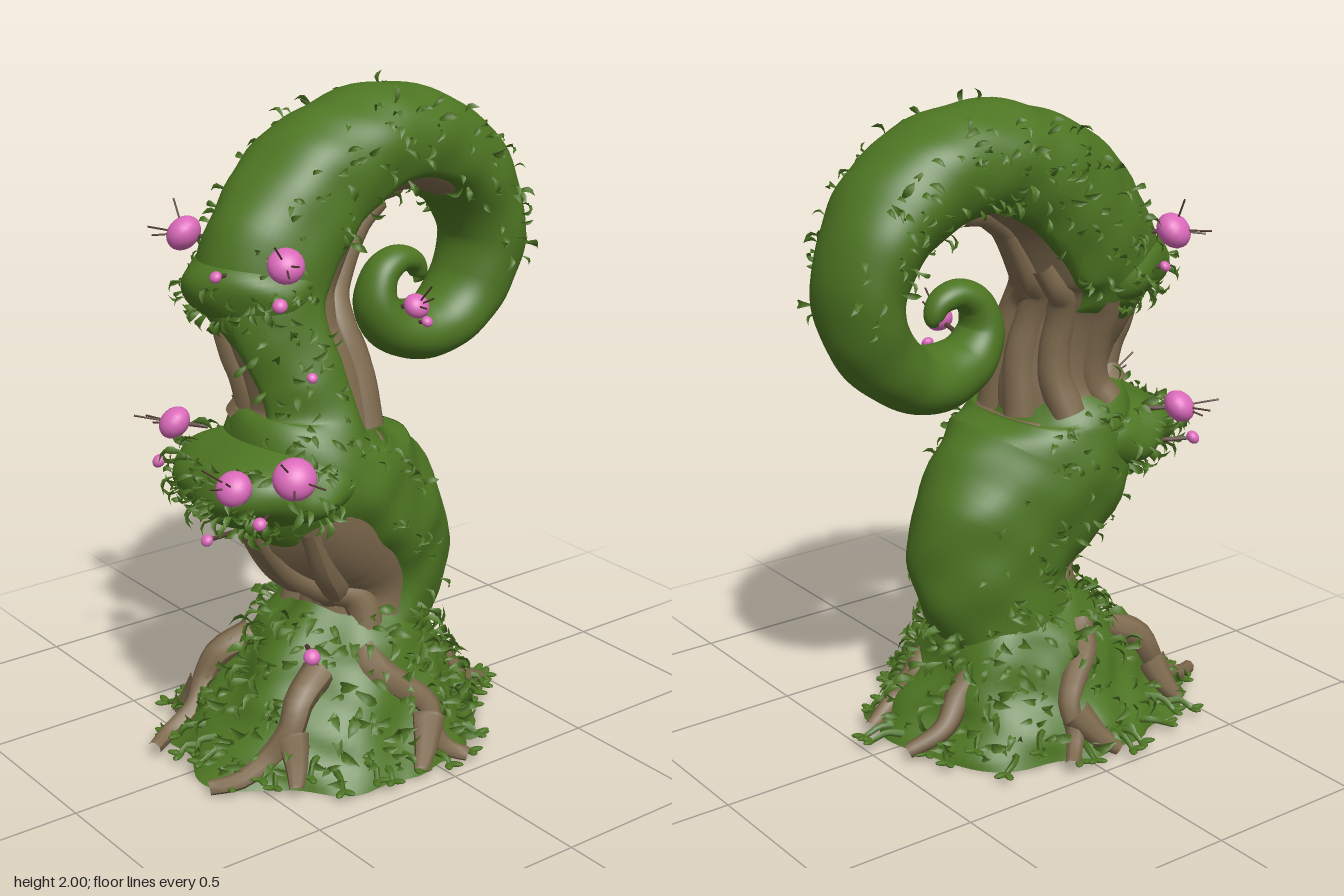
import * as THREE from 'three';
import { mergeGeometries } from 'three/addons/utils/BufferGeometryUtils.js';

const V = (x, y, z) => new THREE.Vector3(x, y, z);
const { sin, cos, PI, abs, max, min } = Math;

const mat = (name, color) => Object.assign(new THREE.MeshStandardMaterial({ color }), { name });

// Trunk sections: x, y, z, radius in the bending plane, radius sideways
const ROWS = [
  [0, 0.15, 0.06, 0.24, 0.25], [0, 0.36, -0.01, 0.225, 0.23], [0.01, 0.5, -0.045, 0.265, 0.215],
  [0.02, 0.64, 0.0, 0.295, 0.24], [0.02, 0.81, 0.14, 0.305, 0.28], [0.02, 0.96, 0.195, 0.235, 0.26],
  [0.02, 1.08, 0.18, 0.2, 0.2], [0, 1.2, 0.2, 0.195, 0.185], [-0.05, 1.33, 0.23, 0.2, 0.19],
  [-0.09, 1.47, 0.22, 0.235, 0.205], [-0.1, 1.67, 0.09, 0.21, 0.205], [-0.1, 1.76, -0.05, 0.185, 0.2],
  [-0.1, 1.795, -0.18, 0.17, 0.195], [-0.1, 1.765, -0.35, 0.16, 0.19], [-0.1, 1.66, -0.5, 0.138, 0.18],
  [-0.1, 1.48, -0.578, 0.117, 0.165], [-0.1, 1.32, -0.54, 0.11, 0.15], [-0.1, 1.215, -0.44, 0.1, 0.135],
  [-0.1, 1.185, -0.33, 0.095, 0.12], [-0.1, 1.22, -0.22, 0.082, 0.1], [-0.1, 1.3, -0.165, 0.065, 0.08],
  [-0.1, 1.38, -0.18, 0.053, 0.065], [-0.1, 1.42, -0.24, 0.044, 0.055], [-0.1, 1.405, -0.305, 0.036, 0.045],
  [-0.1, 1.36, -0.33, 0.026, 0.03], [-0.1, 1.335, -0.315, 0.002, 0.002],
];
const N = ROWS.length - 1;
const spine = new THREE.CatmullRomCurve3(ROWS.map(r => V(r[0], r[1], r[2])), false, 'catmullrom', 0.5);
const girth = new THREE.CatmullRomCurve3(ROWS.map(r => V(r[3], r[4], 0)), false, 'catmullrom', 0.5);

const bump = p => sin(17 * p.x + 5 * p.y) * sin(19 * p.y + 3 * p.z + 1) + 0.6 * sin(31 * p.z + 13 * p.x) * sin(29 * p.y + 2);
const step = THREE.MathUtils.smoothstep;
const turn = d => abs(((d + 3 * PI) % (2 * PI)) - PI);

// Point on the trunk at row s; angle 0 is the outer or front side, PI the inner side
function trunkPoint(s, a, k) {
  const t = min(max(s / N, 0), 1), c = spine.getPoint(t), g = girth.getPoint(t), d = spine.getTangent(t);
  const l = Math.hypot(d.y, d.z) || 1;
  const out = V(0, -d.z / l, d.y / l).multiplyScalar(cos(a) * g.x).add(V(sin(a) * g.y, 0, 0));
  return c.addScaledVector(out, k);
}
// How far the bark is laid bare, 0 to 1: waist, inside of the curl, and the neck on its -x side
function bare(s, a) {
  const patch = (s0, s1, mid, half) => step(s, s0, s0 + 0.9) * (1 - step(s, s1 - 0.8, s1)) *
    (1 - step(turn(a - mid), half - 0.25, half + 0.15));
  const inner = 1.15 - 0.4 * step(s, 8, 11);
  return max(patch(0.6, 4.5, 0.35, 1.15), patch(5.3, 13.8, PI - 0.15, inner), patch(5.4, 8.2, -1.1, 1.35));
}
const mossPoint = (s, a) => {
  const p = trunkPoint(s, a, 1);
  return trunkPoint(s, a, 1 + 0.03 * bump(p) - 0.22 * bare(s, a));
};
const moundPoint = (v, a) => {
  const w = Math.pow(1 - v, 1.5);
  const p = V((0.24 + 0.18 * w) * sin(a), 0.45 * v, 0.02 + 0.08 * (1 - v) + (0.24 + 0.26 * w) * cos(a));
  const k = 1 + 0.045 * bump(p) + 0.025 * sin(7 * a) - 0.3 * step(v, 0.75, 1.1);
  return V(p.x * k, p.y + 0.015 * v * sin(5 * a), 0.04 + (p.z - 0.04) * k);
};
const lipPoint = (c, r) => (v, a) => {
  const u = (v - 0.5) * PI, p = V(c[0] + r[0] * cos(u) * sin(a), c[1] + r[1] * sin(u), c[2] + r[2] * cos(u) * cos(a));
  return p.lerp(V(...c), -0.06 * bump(p));
};

// Surface closed around a, running along v
function wrapped(nv, na, fn) {
  const pos = [], idx = [];
  for (let i = 0; i <= nv; i++) for (let j = 0; j < na; j++) {
    pos.push(...fn(i / nv, j / na * 2 * PI).toArray());
    if (i === nv) continue;
    const a = i * na + j, b = i * na + (j + 1) % na;
    idx.push(a, b, b + na, a, b + na, a + na);
  }
  const g = new THREE.BufferGeometry();
  g.setAttribute('position', new THREE.Float32BufferAttribute(pos, 3));
  g.setIndex(idx);
  g.computeVertexNormals();
  return g;
}
// Tube narrowing from r0 to r1
function taper(points, r0, r1, n = 16, sides = 8) {
  const curve = new THREE.CatmullRomCurve3(points);
  const g = new THREE.TubeGeometry(curve, n, r0, sides), P = g.attributes.position, v = V();
  for (let i = 0; i < P.count; i++) {
    const t = Math.floor(i / (sides + 1)) / n, c = curve.getPointAt(t);
    v.fromBufferAttribute(P, i).sub(c).multiplyScalar(1 + (r1 / r0 - 1) * t).add(c);
    P.setXYZ(i, v.x, v.y, v.z);
  }
  g.computeVertexNormals();
  return g;
}
// Basis at a point with y along dir
function aim(at, dir, up) {
  const y = dir.clone().normalize(), x = y.clone().cross(up).normalize();
  return new THREE.Matrix4().makeBasis(x, y, x.clone().cross(y)).setPosition(at);
}
// Small leaf bent along its length, growing along dir
function leaf(at, dir, up, len, wide) {
  const g = new THREE.PlaneGeometry(1, 1, 2, 4), P = g.attributes.position;
  for (let i = 0; i < P.count; i++) {
    const t = P.getY(i) + 0.5, x = P.getX(i) * (0.2 + 0.8 * sin(PI * Math.pow(t, 1.3))) * (t > 0.99 ? 0 : 1);
    P.setXYZ(i, x * wide, t * len, (abs(x) * 0.25 + 0.3 * sin(PI * t)) * len);
  }
  g.computeVertexNormals();
  return g.applyMatrix4(aim(at, dir, up));
}

export function createModel() {
  const model = new THREE.Group();
  const moss = mat('moss green', 0x4d7522), bark = mat('bark brown', 0x7e6a4e);
  const pink = mat('bud pink', 0xdb6abb), twig = mat('dark twig', 0x573f35), earth = mat('earth olive', 0x595731);
  const leafGreen = mat('leaf green', 0x4b7121);
  leafGreen.side = THREE.DoubleSide;
  const add = (name, geo, m) => {
    const o = new THREE.Mesh(geo, m);
    o.name = name;
    model.add(o);
    return o;
  };
  let seed = 7;
  const rnd = (a = 0, b = 1) => { seed = (seed * 16807) % 2147483647; return a + (b - a) * seed / 2147483647; };

  // Trunk: bark core under a moss coat that sinks away over the bare patches
  add('trunkBark', wrapped(150, 48, (v, a) => trunkPoint(v * N, a, 0.9 + 0.03 * sin(5 * a + 14 * v))), bark);
  add('trunkMoss', wrapped(220, 72, (v, a) => mossPoint(v * N, a)), moss);
  const lowLip = lipPoint([0.025, 0.89, 0.31], [0.285, 0.135, 0.28]);
  const highLip = lipPoint([-0.085, 1.44, 0.275], [0.21, 0.13, 0.215]);
  add('lowerMossLip', wrapped(30, 60, lowLip), moss);
  add('upperMossLip', wrapped(30, 60, highLip), moss);

  // Mound and its flat underside
  add('mound', wrapped(30, 90, moundPoint), moss);
  add('moundBase', wrapped(1, 90, (v, a) => moundPoint(0, a).lerp(V(0, 0, 0.06), 1 - v).setY(0.001)), earth);

  // Roots half sunk in the mound, mirrored
  const roots = [
    [[0.2, 0.34, 0.12], [0.26, 0.28, 0.1], [0.3, 0.23, 0.04], [0.345, 0.17, -0.02], [0.375, 0.09, -0.02], [0.41, 0.04, -0.05], [0.45, 0.025, -0.09]],
    [[0.36, 0.14, -0.01], [0.41, 0.07, 0.04], [0.45, 0.025, 0.09]],
    [[0.17, 0.29, 0.26], [0.21, 0.24, 0.36], [0.225, 0.17, 0.4], [0.2, 0.09, 0.46], [0.19, 0.04, 0.56], [0.15, 0.025, 0.64]],
    [[0.23, 0.15, 0.4], [0.28, 0.08, 0.42], [0.32, 0.03, 0.45]],
    [[0.12, 0.25, -0.17], [0.11, 0.18, -0.25], [0.13, 0.09, -0.33], [0.1, 0.035, -0.44]],
  ];
  for (const m of [1, -1]) for (const r of roots) add('root', taper(r.map(p => V(p[0] * m, p[1], p[2])), 0.052, 0.022), bark);

  // Bark strands wound along the bare patches
  for (const [s0, s1, a0, a1] of [[0.7, 4.2, 1.15, 0.1], [0.7, 4.2, 0.1, 0.85], [0.8, 4.2, -0.5, -0.2],
    [5.7, 11, 2.3, 2.7], [5.6, 12.5, 2.75, 3.2], [5.6, 11, 3.5, 3.0], [5.5, 9.5, 4.3, 3.5],
    [5.4, 8.3, -1.2, -1.7], [5.4, 8, -0.6, -0.3]]) {
    const pts = [];
    for (let i = 0; i <= 6; i++) pts.push(trunkPoint(s0 + (s1 - s0) * i / 6, a0 + (a1 - a0) * i / 6, 0.83));
    add('barkStrand', taper(pts, 0.055, 0.038, 30, 12), bark);
  }

  // Leaves scattered over mound, lips and trunk
  const leaves = [], sprigs = [];
  const scatter = (p, c, len) => {
    const n = p.clone().sub(c).normalize();
    const dir = n.clone().multiplyScalar(rnd(0.3, 0.85)).add(V(rnd(-0.7, 0.7), rnd(-0.8, 0.3), rnd(-0.7, 0.7)));
    if (p.y < 0.1) dir.y = abs(dir.y) * 0.5;
    leaves.push(leaf(p.clone().addScaledVector(n, -0.004), dir, n.add(V(0.01, 0.02, 0.03)), len, len * rnd(0.3, 0.45)));
  };
  for (let i = 0; i < 420; i++) {
    const p = moundPoint(0.06 + 0.9 * Math.pow(rnd(), 1.1), rnd(0, 2 * PI));
    scatter(p, V(0, p.y - 0.1, 0.06), rnd(0.045, 0.085));
  }
  for (let i = 0; i < 140; i++) {
    scatter(lowLip(rnd(0.1, 0.75), rnd(-1.7, 1.7)), V(0.02, 0.9, 0.3), rnd(0.04, 0.07));
    if (i % 2) scatter(highLip(rnd(0.1, 0.6), rnd(-1.7, 1.7)), V(-0.09, 1.5, 0.25), rnd(0.04, 0.065));
  }
  for (let i = 0; i < 520; i++) {
    const s = rnd(1, 15.5), a = (rnd() < 0.5 ? 1 : -1) * rnd(s > 9 ? 0.7 : 0.3, 2.3);
    if (bare(s, a) < 0.1) scatter(mossPoint(s, a), spine.getPoint(s / N), rnd(0.035, 0.06));
  }
  leaves.push(leaf(V(-0.1, 1.955, -0.18), V(0, 1, -0.1), V(0, 0, 1), 0.045, 0.02));

  // Fringe of sprigs round the foot: crooked stalk with plump leaflets
  for (let i = 0; i < 36; i++) {
    const a = i / 36 * 2 * PI + rnd(-0.06, 0.06), p = moundPoint(rnd(0.05, 0.2), a);
    const o = V(sin(a) + rnd(-0.4, 0.4), 0, cos(a) + rnd(-0.4, 0.4)).normalize(), len = rnd(0.04, 0.09);
    const e = p.clone().addScaledVector(o, len).setY(max(0.025, p.y - 0.03));
    const bend = p.clone().lerp(e, 0.5).add(V(rnd(-0.015, 0.015), 0.015, rnd(-0.015, 0.015)));
    sprigs.push(taper([p.clone().addScaledVector(o, -0.03), bend, e], 0.013, 0.008, 6, 5));
    for (const k of [-0.8, 0.8]) {
      const dir = V(o.x - k * o.z, rnd(0, 0.3), o.z + k * o.x);
      sprigs.push(new THREE.SphereGeometry(0.5, 8, 6).scale(0.026, 0.05, 0.014).translate(0, 0.018, 0).applyMatrix4(aim(e, dir, V(0, 1, 0))));
    }
  }
  add('leaves', mergeGeometries(leaves), leafGreen);
  add('footSprigs', mergeGeometries(sprigs), moss);

  // Buds: x, y, z, radius, and whether it carries thin stamens
  const buds = [
    [-0.305, 1.555, 0.385, 0.056, 1], [0.185, 1.555, 0.37, 0.053, 1], [-0.275, 0.995, 0.455, 0.052, 1],
    [0.19, 0.95, 0.56, 0.053, 1], [0.285, 0.975, 0.42, 0.063, 1], [0.25, 0.395, 0.34, 0.025, 0],
    [-0.28, 0.885, 0.51, 0.022, 0], [0.285, 0.87, 0.54, 0.02, 0], [0.11, 0.78, 0.6, 0.018, 0],
    [0.01, 1.505, 0.485, 0.018, 0], [0.18, 1.215, 0.28, 0.016, 0], [0.14, 1.43, 0.36, 0.022, 0],
    [-0.3, 1.45, 0.36, 0.017, 0], [0.04, 1.31, -0.21, 0.04, 1], [0.03, 1.25, -0.26, 0.018, 0],
  ];
  const stems = [];
  for (const [x, y, z, r, stamens] of buds) {
    const c = V(x < 0 || y > 1.2 ? -0.08 : 0.02, y - 0.03, y > 1.2 && z < 0 ? z : 0.22), p = V(x, y, z);
    const o = p.clone().sub(c).normalize();
    const b = add('bud', new THREE.SphereGeometry(r, 20, 14), pink);
    b.scale.set(1, 0.8, 1);
    b.position.copy(p);
    b.quaternion.setFromUnitVectors(V(0, 1, 0), o.clone().add(V(0, 0.8, 0)).normalize());
    stems.push(taper([p.clone().addScaledVector(o, -0.1), p], 0.008, 0.006, 3, 5));
    for (let k = 0; stamens && k < 3; k++) {
      const d = o.clone().add(V(rnd(-0.7, 0.7), rnd(-0.3, 0.9), rnd(-0.7, 0.7))).normalize();
      stems.push(taper([p, p.clone().addScaledVector(d, r + rnd(0.03, 0.07))], 0.003, 0.003, 3, 5));
    }
  }
  add('budStems', mergeGeometries(stems), twig);
  return model;
}
